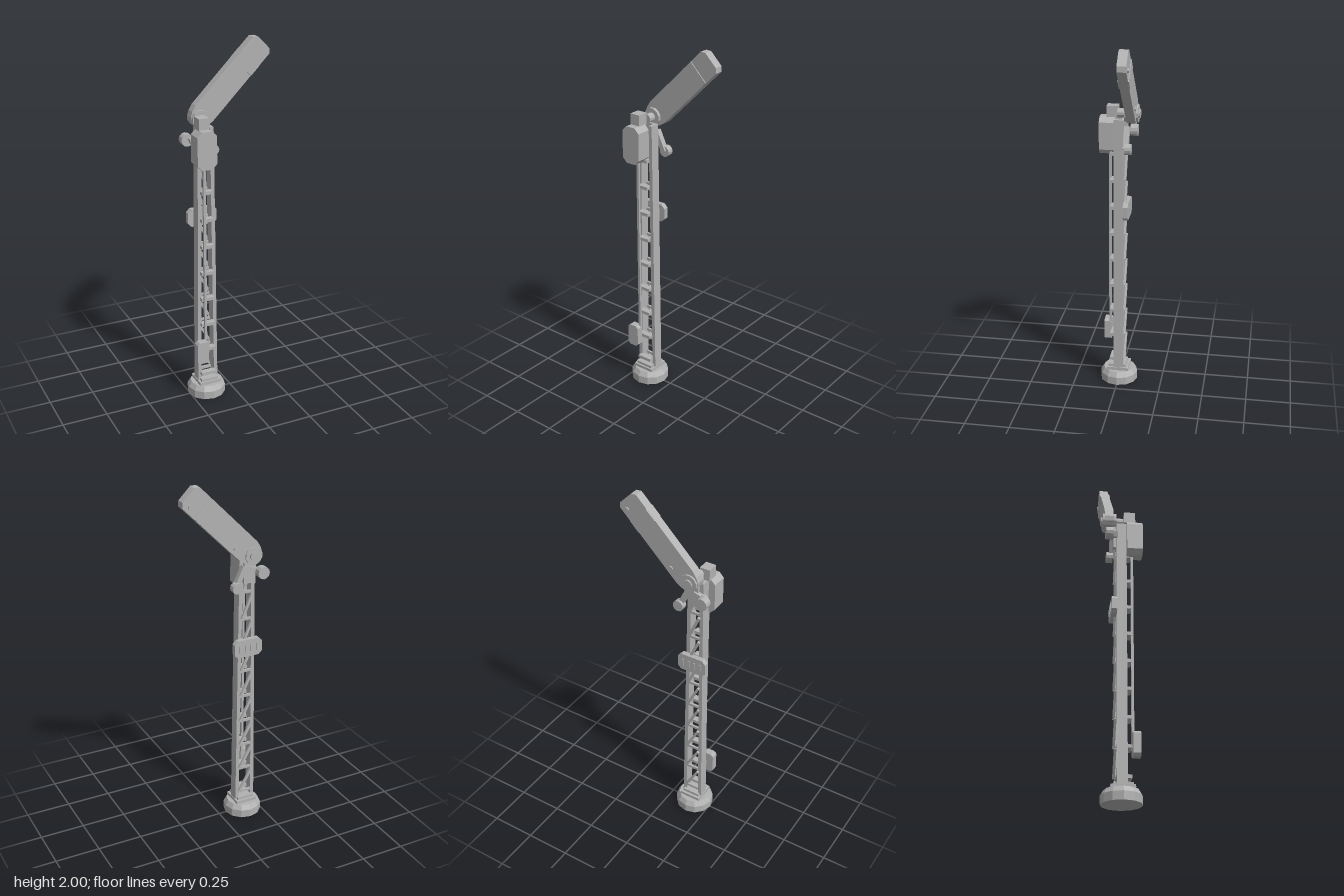
import * as THREE from 'three';

const grey = new THREE.MeshStandardMaterial({ color: 0xb2b2b2, flatShading: true });
grey.name = 'primer grey';

export function createModel() {
  const root = new THREE.Group();
  root.name = 'semaphoreSignal';
  const CX = -0.15; // mast axis

  const add = (geo, name, x = 0, y = 0, z = 0, parent = root) => {
    const m = new THREE.Mesh(geo, grey);
    m.name = name;
    m.position.set(x, y, z);
    parent.add(m);
    return m;
  };
  // box given by its limits
  const box = (name, x0, x1, y0, y1, z0, z1, parent = root) =>
    add(new THREE.BoxGeometry(x1 - x0, y1 - y0, z1 - z0), name,
      (x0 + x1) / 2, (y0 + y1) / 2, (z0 + z1) / 2, parent);
  // outline in x/y pulled between two depths
  const slab = (name, pts, z0, z1, parent = root) => {
    const shape = new THREE.Shape(pts.map(([x, y]) => new THREE.Vector2(x, y)));
    return add(new THREE.ExtrudeGeometry(shape, { depth: z1 - z0, bevelEnabled: false }), name, 0, 0, z0, parent);
  };
  const chamfered = (x0, x1, y0, y1, c) => [
    [x0 + c, y0], [x1 - c, y0], [x1, y0 + c], [x1, y1 - c],
    [x1 - c, y1], [x0 + c, y1], [x0, y1 - c], [x0, y0 + c]];
  // cylinder along z
  const disc = (name, x, y, z0, z1, r, parent = root, sides = 12) =>
    add(new THREE.CylinderGeometry(r, r, z1 - z0, sides).rotateX(Math.PI / 2), name, x, y, (z0 + z1) / 2, parent);
  // flat bar between two points in the x/y plane
  const bar = (name, x0, y0, x1, y1, w, z0, z1) => {
    const m = add(new THREE.BoxGeometry(w, Math.hypot(x1 - x0, y1 - y0), z1 - z0), name,
      (x0 + x1) / 2, (y0 + y1) / 2, (z0 + z1) / 2);
    m.rotation.z = -Math.atan2(x1 - x0, y1 - y0);
    return m;
  };

  // round foundation and foot plates
  add(new THREE.CylinderGeometry(0.107, 0.107, 0.045, 12), 'foundation', CX, 0.0225, 0);
  add(new THREE.CylinderGeometry(0.09, 0.107, 0.028, 12), 'foundationBevel', CX, 0.059, 0);
  box('footPlate', CX - 0.063, CX + 0.063, 0.073, 0.09, -0.06, 0.065);
  box('footBlock', CX - 0.05, CX + 0.05, 0.09, 0.105, -0.045, 0.055);

  // two tapering mast posts
  for (const s of [-1, 1])
    bar('mastPost', CX + s * 0.049, 0.08, CX + s * 0.035, 1.57, 0.021, -0.03, 0.025);

  // rungs and diagonal braces
  for (let i = 0; i < 9; i++) {
    const y = 0.135 + i * 0.155;
    const half = 0.046 - i * 0.0014;
    box('rung', CX - half, CX + half - 0.006, y - 0.009, y + 0.009, 0.015, 0.05);
    box('backTie', CX - half, CX + half, y - 0.007, y + 0.007, -0.03, -0.018);
    bar('brace', CX - half + 0.008, y + 0.143, CX + half - 0.006, y + 0.008, 0.014, -0.042, -0.03);
  }
  box('mastCap', CX - 0.03, CX + 0.03, 1.5, 1.56, -0.03, -0.015);

  // conduit and control boxes on the front
  box('conduit', -0.182, -0.168, 0.24, 1.4, 0.048, 0.062);
  slab('lowerBox', chamfered(-0.237, -0.167, 0.23, 0.36, 0.013), 0.05, 0.09);
  slab('motorBox', chamfered(-0.233, -0.124, 1.37, 1.575, 0.027), 0.024, 0.11);
  box('motorBoxCap', -0.208, -0.15, 1.57, 1.635, 0.01, 0.072);

  // plate on the back with plain raised strips
  slab('backPlate', chamfered(-0.233, -0.065, 1.01, 1.11, 0.02), -0.058, -0.03);
  for (let i = 0; i < 4; i++) {
    const x = -0.2 + i * 0.034;
    box('plateStrip', x - 0.005, x + 0.005, 1.04, 1.08, -0.063, -0.057);
  }

  // signal arm, raised 45 degrees about its pivot
  const arm = new THREE.Group();
  arm.name = 'signalArm';
  arm.position.set(CX, 1.6, 0);
  arm.rotation.z = Math.PI / 4;
  root.add(arm);
  slab('armBlade', [[-0.045, -0.022], [-0.028, -0.045], [0, -0.06], [0.035, -0.068], [0.498, -0.068],
    [0.518, -0.046], [0.518, 0.046], [0.498, 0.068], [0.035, 0.068], [0, 0.06],
    [-0.028, 0.045], [-0.045, 0.022]], -0.095, -0.046, arm);
  box('armBandFront', 0.345, 0.415, -0.067, 0.067, -0.046, -0.041, arm);
  box('armBandBack', 0.345, 0.415, -0.067, 0.067, -0.099, -0.095, arm);
  disc('armHub', 0, 0, -0.105, -0.03, 0.049, arm);
  disc('pivotPin', 0, 0, -0.114, 0.01, 0.025, arm);
  for (const s of [0.11, 0.47]) disc('armBolt', s, -0.037, -0.103, -0.095, 0.012, arm, 8);

  // linkage and round weights behind the mast top
  disc('leftHandLamp', -0.219, 1.49, -0.092, -0.052, 0.034);
  bar('lampBracket', -0.215, 1.49, -0.12, 1.52, 0.03, -0.055, -0.025);
  disc('weight', -0.073, 1.42, -0.075, -0.04, 0.03);
  bar('weightRod', -0.125, 1.53, -0.073, 1.42, 0.028, -0.06, -0.03);
  box('linkageBlock', -0.175, -0.125, 1.43, 1.57, -0.045, -0.015);

  return root;
}
